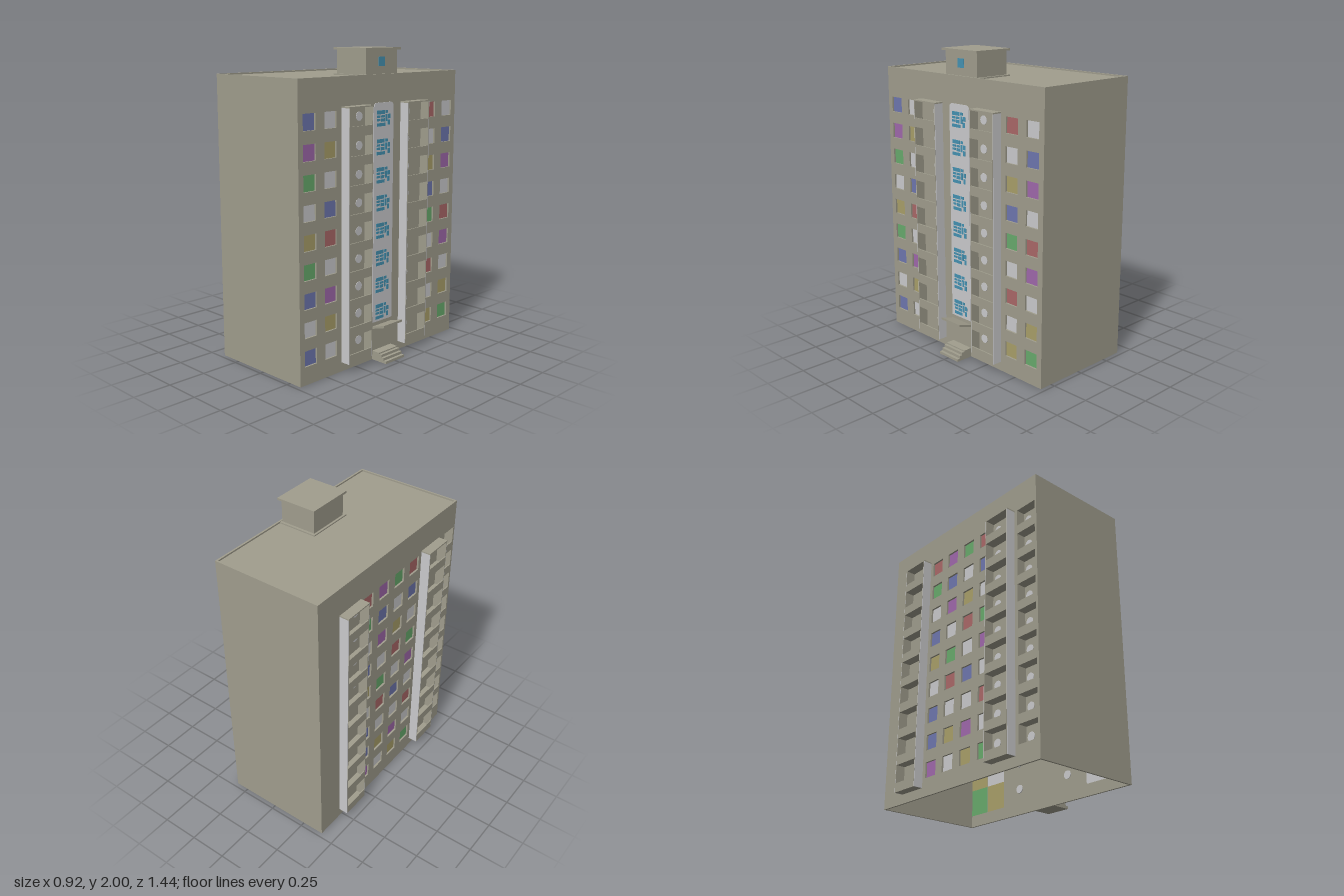
import * as THREE from 'three';

const mat = (name, color) => {
  const m = new THREE.MeshStandardMaterial({ color, side: THREE.DoubleSide });
  m.name = name;
  return m;
};

export function createModel() {
  const wall = mat('wallTan', 0xa09d8d);
  const white = mat('white', 0xcacacc);
  const teal = mat('tealGlass', 0x4592b2);
  const paint = {
    W: white,
    B: mat('blue', 0x6e76ae),
    P: mat('purple', 0x9f68ab),
    Y: mat('yellow', 0xa99f69),
    G: mat('green', 0x68aa6c),
    R: mat('red', 0xaa6868),
  };
  const root = new THREE.Group();
  root.name = 'apartmentBlock';

  const FLOORS = 9, PITCH = 0.178, BASE = 0.06, H = 1.84, T = 0.012;
  const TOP = BASE + FLOORS * PITCH;
  const X0 = -0.4, X1 = 0.34, Z = 0.72;

  // Box given by its minimum and maximum corners
  function box(parent, name, m, x0, x1, y0, y1, z0, z1) {
    const mesh = new THREE.Mesh(new THREE.BoxGeometry(x1 - x0, y1 - y0, z1 - z0), m);
    mesh.position.set((x0 + x1) / 2, (y0 + y1) / 2, (z0 + z1) / 2);
    mesh.name = name;
    parent.add(mesh);
    return mesh;
  }

  function rectPath(x0, x1, y0, y1, Kind = THREE.Path) {
    const p = new Kind();
    p.moveTo(x0, y0);
    p.lineTo(x1, y0);
    p.lineTo(x1, y1);
    p.lineTo(x0, y1);
    p.closePath();
    return p;
  }

  // Long facade in its own frame: x along the wall, z outward, wall surface at z = 0
  function facade(name, side, columns, rows, tileWidth, recess) {
    const g = new THREE.Group();
    g.name = name;
    g.rotation.y = side * Math.PI / 2;
    g.position.x = side > 0 ? X1 : X0;
    root.add(g);
    const shape = rectPath(-Z, Z, 0, H, THREE.Shape);
    rows.forEach((row, r) => columns.forEach((s, c) => {
      const y = 0.166 + (FLOORS - 1 - r) * PITCH;
      shape.holes.push(rectPath(s - 0.05, s + 0.05, y - 0.05, y + 0.05));
      // Panes sit behind the openings and overlap the wall
      const pane = new THREE.Mesh(new THREE.PlaneGeometry(tileWidth, PITCH), paint[row[c]]);
      pane.position.set(s, y, -T - 0.001);
      pane.name = 'windowPane';
      g.add(pane);
    }));
    if (recess) shape.holes.push(rectPath(recess[0], recess[1], BASE, TOP));
    const mesh = new THREE.Mesh(
      new THREE.ExtrudeGeometry(shape, { depth: T, bevelEnabled: false }), wall);
    mesh.position.z = -T;
    mesh.name = 'facadeWall';
    g.add(mesh);
    return g;
  }

  // Stack of balconies between s0 and s1, from the back plane zb to the front plane zf
  function balconies(parent, s0, s1, zb, zf, spot) {
    const g = new THREE.Group();
    g.name = 'balconyStack';
    parent.add(g);
    for (let i = 0; i < FLOORS; i++) {
      const y = BASE + i * PITCH;
      box(g, 'balconySlab', wall, s0 + 0.005, s1 - 0.005, y, y + 0.01, zb, zf);
      box(g, 'balconyParapet', wall, s0 + 0.005, s1 - 0.005, y + 0.01, y + 0.06, zf - 0.008, zf);
      const light = new THREE.Mesh(new THREE.CylinderGeometry(0.028, 0.028, 0.02, 16), white);
      light.rotation.x = Math.PI / 2;
      light.position.set(spot, y + 0.11, zb - 0.007);
      light.name = 'roundBalconyWindow';
      g.add(light);
    }
    box(g, 'balconyRoof', wall, s0, s1, TOP - 0.008, TOP, zb, zf);
    return g;
  }

  // White outer cheek with a tan inner lining on both sides
  function cheeks(g, s0, s1, depth) {
    for (const [s, d] of [[s0, 1], [s1, -1]]) {
      const span = (a, b) => [Math.min(s + d * a, s + d * b), Math.max(s + d * a, s + d * b)];
      box(g, 'balconyCheek', white, ...span(0, 0.004), BASE, TOP - 0.008, 0, depth);
      box(g, 'balconyLining', wall, ...span(0.004, 0.008), BASE, TOP - 0.008, 0, depth + 0.001);
    }
  }

  // Entrance facade
  const entrance = facade('entranceFacade', 1, [-0.632, -0.462, 0.46, 0.63],
    ['BWRW', 'PYWB', 'GWYP', 'WBBW', 'YRGR', 'GWWP', 'BPRW', 'WYWY', 'BWYG'], 0.165);
  for (const d of [-1, 1]) {
    const s0 = d < 0 ? -0.37 : 0.16;
    cheeks(balconies(entrance, s0, s0 + 0.21, 0, 0.065, d * 0.22), s0, s0 + 0.21, 0.064);
  }

  // Stairwell strip with rounded corners
  const a = 0.09, y0 = 0.25, y1 = 1.665, rad = 0.03;
  const strip = rectPath(-a, a, y0, y1 - rad, THREE.Shape);
  strip.curves.length = 0;
  strip.moveTo(-a, y0);
  strip.lineTo(a, y0);
  strip.lineTo(a, y1 - rad);
  strip.quadraticCurveTo(a, y1, a - rad, y1);
  strip.lineTo(-a + rad, y1);
  strip.quadraticCurveTo(-a, y1, -a, y1 - rad);
  strip.closePath();
  const stripMesh = new THREE.Mesh(
    new THREE.ExtrudeGeometry(strip, { depth: 0.004, bevelEnabled: false }), white);
  stripMesh.name = 'stairwellStrip';
  entrance.add(stripMesh);

  // Small glass pieces, one cluster for each upper floor: x, y, width, height
  const glass = [
    [-0.064, 0.025, 0.07, 0.024], [-0.064, 0.004, 0.03, 0.014], [-0.027, 0.004, 0.033, 0.014],
    [-0.064, -0.017, 0.03, 0.014], [-0.027, -0.022, 0.033, 0.02], [-0.064, -0.05, 0.075, 0.02],
    [0.014, 0.03, 0.022, 0.018], [0.014, -0.022, 0.016, 0.045], [0.036, -0.005, 0.022, 0.028],
    [0.036, -0.045, 0.02, 0.032],
  ];
  for (let i = 0; i < FLOORS - 1; i++)
    for (const [x, y, w, h] of glass) {
      const cy = 0.315 + i * 0.179;
      box(entrance, 'stairwellGlass', teal, x, x + w, cy + y, cy + y + h, 0.002, 0.006);
    }

  // Tilted canopy and entrance steps
  const canopy = new THREE.Mesh(new THREE.ExtrudeGeometry(
    new THREE.Shape([[0, 0.208], [0.1, 0.238], [0.1, 0.252], [0, 0.224]]
      .map(([x, y]) => new THREE.Vector2(x, y))), { depth: 0.176, bevelEnabled: false }), wall);
  canopy.position.set(X1, 0, -0.088);
  canopy.name = 'entranceCanopy';
  root.add(canopy);
  [[0.4, 0.06], [0.42, 0.052], [0.44, 0.035], [0.46, 0.017]].forEach(([x, h], i) =>
    box(root, 'entranceStep', wall, i ? x - 0.02 : X1, x, 0, h, -0.088, 0.088));

  // Rear facade with two outer stacks and one recessed stack at the corner
  const rear = facade('rearFacade', -1, [-0.245, -0.082, 0.082, 0.245],
    ['RPGR', 'GBWB', 'WPYW', 'BWRG', 'YGWP', 'WRBW', 'BWWR', 'BYPW', 'PWYG'], 0.162,
    [0.55, 0.705]);
  for (const d of [-1, 1]) {
    const s0 = d < 0 ? -0.525 : 0.322;
    cheeks(balconies(rear, s0, s0 + 0.203, 0, 0.063, d * 0.375), s0, s0 + 0.203, 0.062);
  }
  balconies(rear, 0.545, 0.71, -0.06, 0, 0.59);
  box(rear, 'recessBack', wall, 0.54, 0.71, BASE, TOP, -0.066, -0.06);
  box(rear, 'recessSide', wall, 0.54, 0.55, BASE, TOP, -0.06, -T);
  box(rear, 'recessSide', wall, 0.705, 0.71, BASE, TOP, -0.06, -T);

  // End walls and roof, leaving the underside open
  for (const d of [-1, 1]) {
    const z = d * (Z - T / 2);
    box(root, 'endWall', wall, X0 + 0.0005, X1 - 0.0005, 0, H, z - T / 2, z + T / 2);
  }
  box(root, 'roof', wall, X0 + T, X1 - T, H - 0.022, H - 0.01, -Z + T, Z - T);

  // Roof house
  box(root, 'roofHouseBase', wall, 0.06, 0.335, H - 0.01, H - 0.002, -0.16, 0.16);
  box(root, 'roofHouse', wall, 0.075, 0.322, H - 0.01, 1.988, -0.143, 0.143);
  box(root, 'roofHouseCap', wall, 0.06, 0.34, 1.986, 2, -0.16, 0.16);
  box(root, 'roofHouseWindow', teal, 0.318, 0.325, 1.887, 1.944, -0.028, 0.028);
  return root;
}
